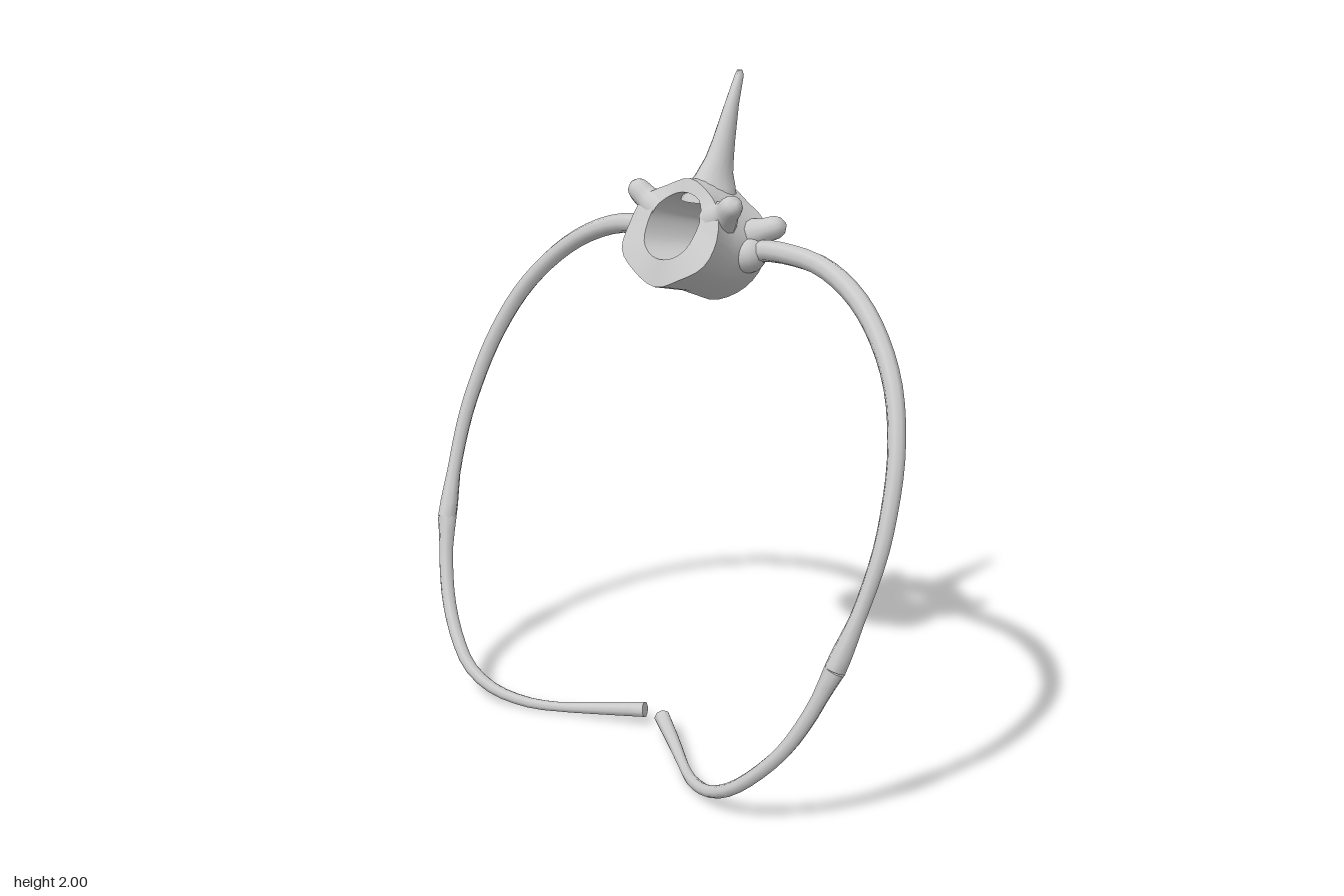
import * as THREE from 'three';
import { mergeVertices, toCreasedNormals } from 'three/addons/utils/BufferGeometryUtils.js';

const material = new THREE.MeshStandardMaterial({ color: 0xcccccc });
const V = (x, y, z) => new THREE.Vector3(x, y, z);

// Skin a list of equal-length rings; 'loop' joins the last ring to the first, otherwise the ends are capped.
function loft(rings, loop = false, crease = 0.9) {
  const n = rings[0].length, m = rings.length, pts = rings.flat(), index = [];
  for (let i = 0; i < (loop ? m : m - 1); i++) {
    for (let j = 0; j < n; j++) {
      const k = (j + 1) % n, i2 = (i + 1) % m;
      const a = i * n + j, b = i * n + k, c = i2 * n + k, d = i2 * n + j;
      index.push(a, b, c, a, c, d);
    }
  }
  if (!loop) {
    const e = (m - 1) * n;
    for (let j = 1; j < n - 1; j++) index.push(0, j + 1, j, e, e + j, e + j + 1);
  }
  const g = new THREE.BufferGeometry().setFromPoints(pts);
  g.setIndex(index);
  return toCreasedNormals(mergeVertices(g), crease);
}

// Tube of changing thickness: radii is a list of [position along path 0..1, radius].
function taperedTube(points, radii, segments, sides) {
  const curve = new THREE.CatmullRomCurve3(points);
  const frames = curve.computeFrenetFrames(segments);
  const rings = [];
  for (let i = 0; i <= segments; i++) {
    const t = i / segments, p = curve.getPointAt(t);
    let k = 0;
    while (k < radii.length - 2 && t > radii[k + 1][0]) k++;
    const [t0, r0] = radii[k], [t1, r1] = radii[k + 1];
    const r = THREE.MathUtils.mapLinear(t, t0, t1, r0, r1);
    rings.push(Array.from({ length: sides }, (_, j) => {
      const a = (j / sides) * Math.PI * 2;
      return p.clone().addScaledVector(frames.normals[i], r * Math.cos(a))
        .addScaledVector(frames.binormals[i], r * Math.sin(a));
    }));
  }
  return loft(rings, false, 1.1);
}

// Full ring from half a cross-section, listed from top to bottom.
function mirroredRing(half, count = 36) {
  const right = half.map(p => V(...p));
  const left = half.slice(1, -1).reverse().map(([x, y, z]) => V(-x, y, z));
  const curve = new THREE.CatmullRomCurve3([...right, ...left], true);
  return Array.from({ length: count }, (_, i) => curve.getPoint(i / count));
}

function vertebralBody() {
  const frontOuter = [[0, 1.70, -0.10], [0.09, 1.67, -0.09], [0.16, 1.63, -0.06], [0.19, 1.55, -0.03],
    [0.18, 1.48, 0.01], [0.10, 1.43, 0.035], [0, 1.395, 0.04]];
  const midOuter = [[0, 1.69, -0.17], [0.07, 1.66, -0.17], [0.13, 1.60, -0.15], [0.165, 1.52, -0.13],
    [0.15, 1.44, -0.10], [0.09, 1.395, -0.08], [0, 1.37, -0.07]];
  const backOuter = [[0, 1.66, -0.26], [0.08, 1.62, -0.26], [0.15, 1.58, -0.255], [0.19, 1.52, -0.24],
    [0.17, 1.43, -0.22], [0.10, 1.36, -0.20], [0, 1.325, -0.18]];
  const backInner = [[0, 1.61, -0.255], [0.05, 1.60, -0.255], [0.085, 1.56, -0.245], [0.09, 1.53, -0.235],
    [0.07, 1.48, -0.225], [0.04, 1.46, -0.215], [0, 1.455, -0.21]];
  const frontInner = [[0, 1.66, -0.085], [0.06, 1.645, -0.08], [0.10, 1.605, -0.05], [0.105, 1.57, -0.03],
    [0.09, 1.515, 0.0], [0.05, 1.485, 0.015], [0, 1.475, 0.02]];
  return loft([frontOuter, midOuter, backOuter, backInner, frontInner].map(h => mirroredRing(h)), true);
}

// Tapering blade: each row is [y, front z, back z, half width].
function spinousProcess() {
  const rows = [[1.63, -0.09, -0.262, 0.08], [1.67, -0.105, -0.262, 0.065], [1.70, -0.13, -0.262, 0.046],
    [1.75, -0.17, -0.266, 0.036], [1.80, -0.197, -0.272, 0.03], [1.90, -0.242, -0.288, 0.02],
    [1.985, -0.28, -0.31, 0.012], [2.0, -0.288, -0.305, 0.006]];
  return loft(rows.map(([y, f, b, w]) => Array.from({ length: 16 }, (_, j) => {
    const a = (j / 16) * Math.PI * 2;
    return V(w * Math.cos(a), y, (f + b) / 2 - ((f - b) / 2) * Math.sin(a));
  })));
}

export function createModel() {
  const group = new THREE.Group();
  const add = (name, geometry) => {
    const mesh = new THREE.Mesh(geometry, material);
    mesh.name = name;
    group.add(mesh);
  };

  add('vertebralBody', vertebralBody());
  add('spinousProcess', spinousProcess());

  const ribPath = [[0.13, 1.48], [0.2, 1.5], [0.3, 1.505], [0.45, 1.49], [0.6, 1.43], [0.72, 1.34], [0.82, 1.22],
    [0.89, 1.06], [0.92, 0.9], [0.925, 0.8], [0.91, 0.65], [0.88, 0.5]];
  const cartilagePath = [[0.88, 0.5, 0.17], [0.83, 0.36, 0.215], [0.77, 0.25, 0.25], [0.68, 0.15, 0.282],
    [0.6, 0.088, 0.295], [0.5, 0.043, 0.28], [0.38, 0.022, 0.235], [0.3, 0.021, 0.19],
    [0.17, 0.035, 0.115], [0.04, 0.053, 0.045]];
  // rounded knob profile
  const knob = [[0, 0.06], [0.5, 0.037], [0.8, 0.034], [0.92, 0.025], [1, 0.006]];

  for (const [side, s] of [['left', 1], ['right', -1]]) {
    // ribs lie in a plane that leans forward toward the bottom
    add(side + 'Rib', taperedTube(ribPath.map(([x, y]) => V(s * x, y, -0.205 + (1.5 - y) * 0.375)),
      [[0, 0.033], [0.15, 0.031], [0.5, 0.027], [0.9, 0.022], [0.97, 0.03], [1, 0.031]], 32, 8));
    add(side + 'RibCartilage', taperedTube(cartilagePath.map(([x, y, z]) => V(s * x, y, z)),
      [[0, 0.031], [0.07, 0.023], [0.4, 0.02], [0.75, 0.016], [1, 0.025]], 24, 8));

    // upper front and lower back joint knobs
    add(side + 'FrontProcess', taperedTube(
      [V(s * 0.12, 1.59, -0.10), V(s * 0.17, 1.62, -0.085), V(s * 0.225, 1.665, -0.07)], knob, 12, 12));
    add(side + 'BackProcess', taperedTube(
      [V(s * 0.12, 1.53, -0.20), V(s * 0.17, 1.55, -0.23), V(s * 0.23, 1.575, -0.268)], knob, 12, 12));
    // swelling where the rib meets the body
    add(side + 'RibSocket', new THREE.SphereGeometry(0.055, 16, 12).translate(s * 0.155, 1.485, -0.19));
  }
  return group;
}
